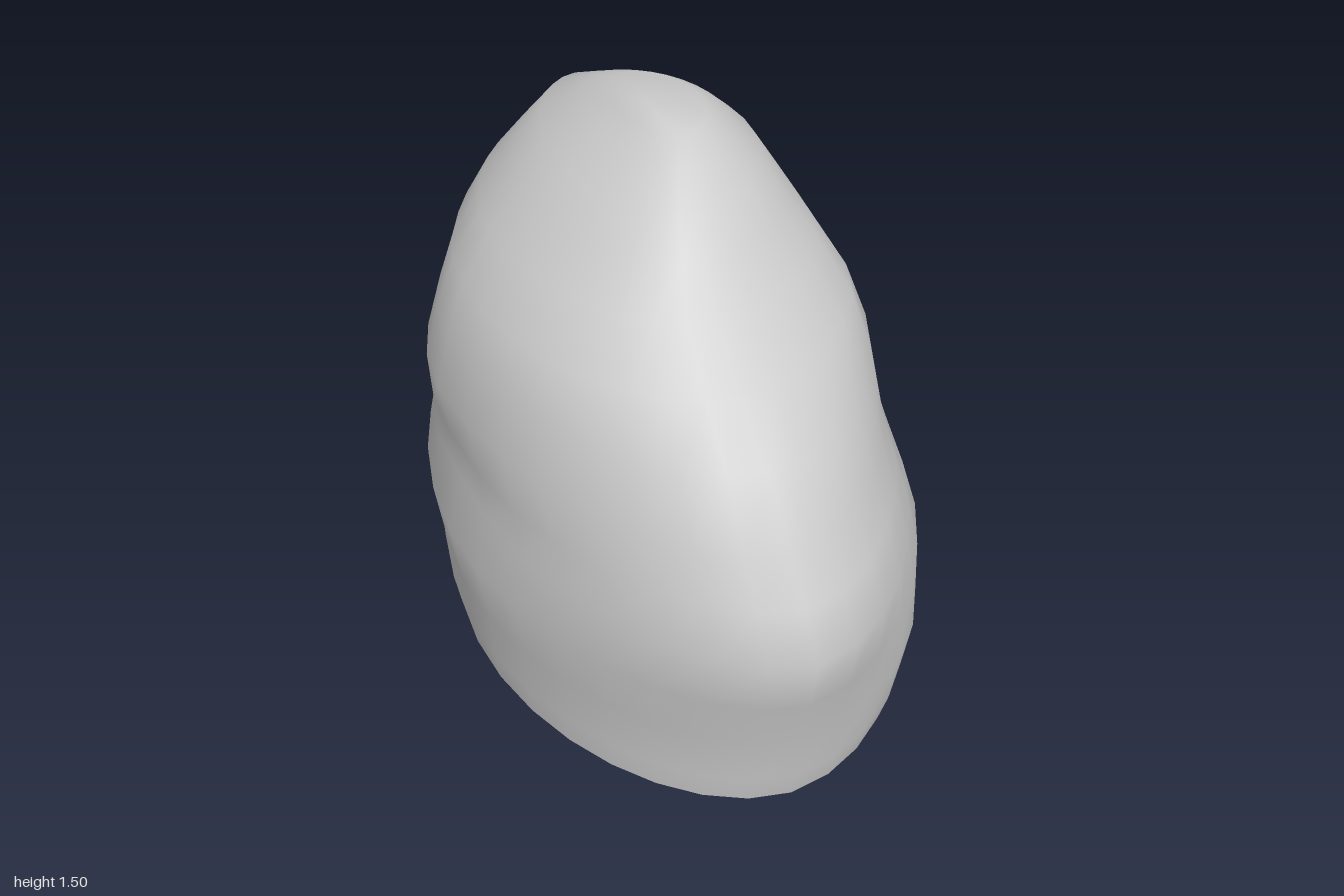
import * as THREE from 'three';

// Horizontal cross-sections: height, left x, right x, front z, back z,
// z of the widest point, x of the front/back ridge, front and back roundness
const SECTIONS = [
  [0.00, 0.57, -0.565, 0.88, -0.885, 0.05, -0.01, 1.85, 2.0],
  [0.08, 0.595, -0.58, 0.90, -0.94, 0.05, -0.01, 1.8, 2.0],
  [0.22, 0.605, -0.59, 0.92, -1.00, 0.05, -0.01, 1.75, 1.9],
  [0.38, 0.60, -0.615, 0.97, -0.985, 0.02, -0.02, 1.75, 1.85],
  [0.53, 0.58, -0.585, 1.00, -0.965, 0.00, -0.02, 1.75, 1.8],
  [0.65, 0.56, -0.59, 0.94, -0.92, -0.02, -0.03, 1.75, 1.8],
  [0.77, 0.535, -0.59, 0.87, -0.88, -0.08, -0.04, 1.8, 1.8],
  [0.93, 0.485, -0.55, 0.77, -0.82, -0.08, -0.05, 1.9, 1.8],
  [1.05, 0.44, -0.50, 0.62, -0.76, -0.10, -0.05, 2.0, 1.8],
  [1.17, 0.385, -0.415, 0.46, -0.68, -0.12, -0.05, 2.05, 1.8],
  [1.27, 0.325, -0.32, 0.37, -0.61, -0.12, -0.04, 2.05, 1.75],
  [1.35, 0.275, -0.24, 0.29, -0.54, -0.12, -0.03, 2.0, 1.75],
  [1.42, 0.20, -0.14, 0.19, -0.38, -0.11, -0.01, 2, 1.8],
  [1.465, 0.13, -0.08, 0.12, -0.26, -0.08, 0.01, 2, 2],
];
// Hollows and bulges: x, y, z, radius, amount moved outward
const DENTS = [
  [0.55, 0.70, 0.05, 0.18, -0.075],
  [0.58, 0.20, 0.00, 0.16, -0.03],
  [0.54, 0.30, 0.36, 0.22, 0.05],
  [0.38, 0.22, 0.68, 0.20, 0.035],
  [0.48, 0.78, -0.30, 0.16, 0.025],
  [0.40, 0.92, -0.52, 0.24, 0.05],
  [0.28, 1.22, -0.40, 0.18, 0.025],
  [0.40, 1.02, 0.24, 0.20, 0.035],
  [-0.57, 0.58, 0.05, 0.15, -0.025],
  [-0.45, 0.88, -0.50, 0.20, -0.025],
];
const SIDES = 32;

function sectionPoint([y, left, right, front, back, midZ, midX, pFront, pBack], angle) {
  const c = Math.cos(angle), s = Math.sin(angle);
  const p = s > 0 ? pFront : pBack;
  const r = 1 / Math.pow(Math.abs(c) ** p + Math.abs(s) ** p, 1 / p);
  const x = midX + r * c * (c > 0 ? left - midX : midX - right);
  const z = midZ + r * s * (s > 0 ? front - midZ : midZ - back);
  const v = new THREE.Vector3(x, y, z);
  const out = new THREE.Vector3(x - midX, 0, (z - midZ) * 0.4).normalize();
  for (const [dx, dy, dz, radius, amount] of DENTS) {
    const d2 = (x - dx) ** 2 + (y - dy) ** 2 + (z - dz) ** 2;
    v.addScaledVector(out, amount * Math.exp(-d2 / (radius * radius)));
  }
  return v;
}

function makeGeometry(points, index) {
  const geometry = new THREE.BufferGeometry().setFromPoints(points);
  geometry.setIndex(index);
  geometry.computeVertexNormals();
  return geometry;
}

export function createModel() {
  const group = new THREE.Group();
  group.name = 'boulder';
  const material = new THREE.MeshStandardMaterial({ color: 0xcccccc });

  // Weathered stone body, lofted through the sections and closed at the summit
  const rings = SECTIONS.map((section) =>
    Array.from({ length: SIDES }, (_, i) => sectionPoint(section, (i / SIDES) * Math.PI * 2)));
  const points = rings.flat();
  const index = [];
  for (let j = 0; j < rings.length - 1; j++) {
    for (let i = 0; i < SIDES; i++) {
      const n = (i + 1) % SIDES;
      const a = j * SIDES + i, b = j * SIDES + n;
      index.push(a, a + SIDES, b, b, a + SIDES, b + SIDES);
    }
  }
  const summit = points.push(new THREE.Vector3(-0.03, 1.495, -0.03)) - 1;
  const last = (rings.length - 1) * SIDES;
  for (let i = 0; i < SIDES; i++) index.push(last + i, summit, last + (i + 1) % SIDES);
  const body = new THREE.Mesh(makeGeometry(points, index), material);
  body.name = 'stoneBody';

  // Flat underside
  const basePoints = [new THREE.Vector3(0, 0, 0), ...rings[0].map((v) => v.clone())];
  const baseIndex = [];
  for (let i = 0; i < SIDES; i++) baseIndex.push(0, 1 + i, 1 + (i + 1) % SIDES);
  const base = new THREE.Mesh(makeGeometry(basePoints, baseIndex), material);
  base.name = 'flatBase';

  group.add(body, base);
  return group;
}
